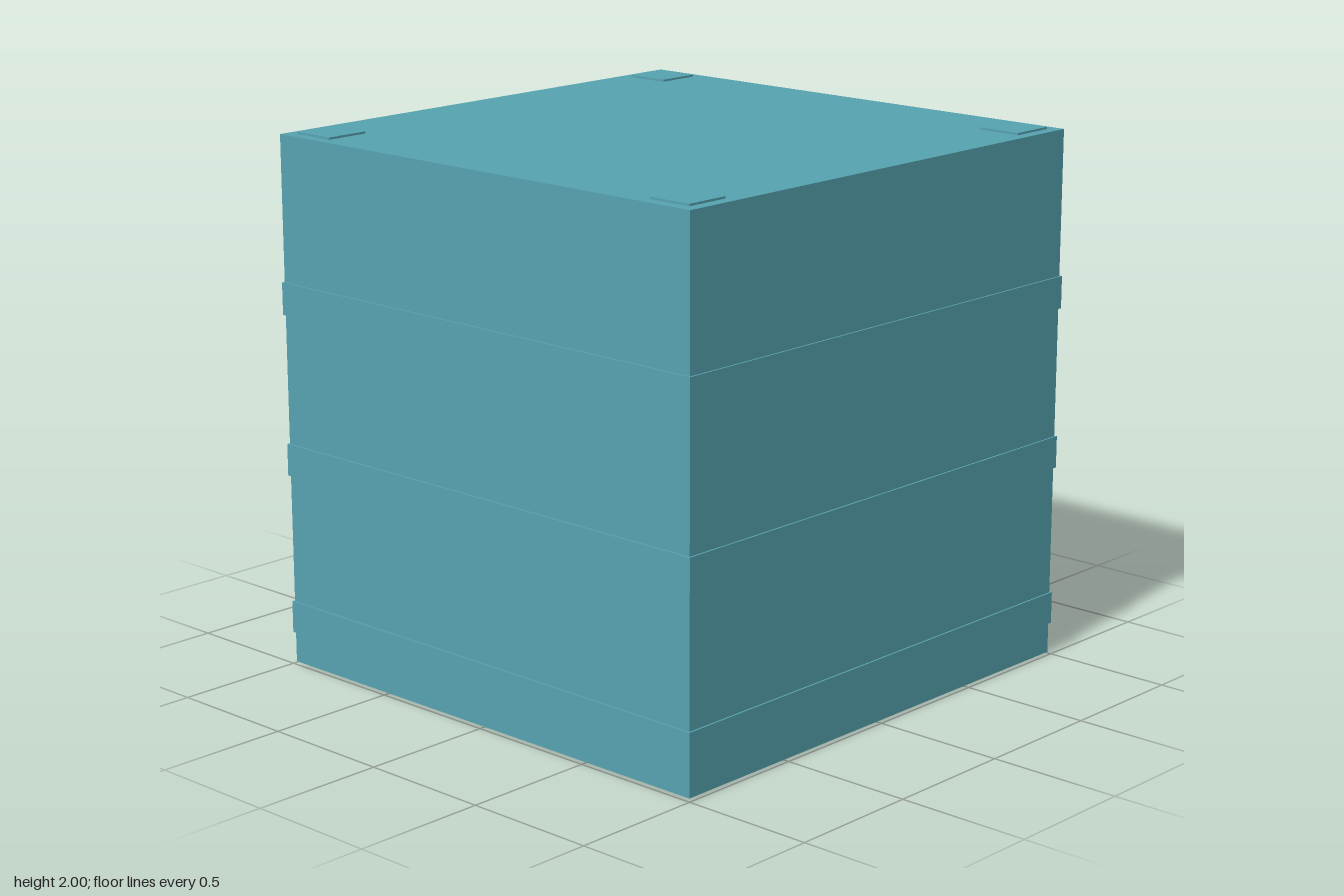
import * as THREE from 'three';

export function createModel() {
  const group = new THREE.Group();
  const material = new THREE.MeshStandardMaterial({ color: 0x57a3b1 });

  const addBox = (name, w, h, d, x, y, z) => {
    const mesh = new THREE.Mesh(new THREE.BoxGeometry(w, h, d), material);
    mesh.name = name;
    mesh.position.set(x, y, z);
    group.add(mesh);
  };

  // Main block
  addBox('body', 1.982, 1.984, 1.982, 0, 1, 0);

  // Slightly raised bands wrapping all four sides
  ['lowerBand', 'middleBand', 'upperBand'].forEach((name, i) => {
    addBox(name, 1.996, 0.12, 1.996, 0, 0.183 + i * 0.604, 0);
  });

  // Thin square pads at the corners, on top and underneath
  const padHeight = 0.02;
  for (const [level, y] of [['bottom', padHeight / 2], ['top', 2 - padHeight / 2]]) {
    for (const [sideX, x] of [['Left', 0.862], ['Right', -0.862]]) {
      for (const [sideZ, z] of [['Front', 0.862], ['Back', -0.862]]) {
        addBox(`${level}${sideZ}${sideX}Pad`, 0.172, padHeight, 0.172, x, y, z);
      }
    }
  }
  return group;
}
